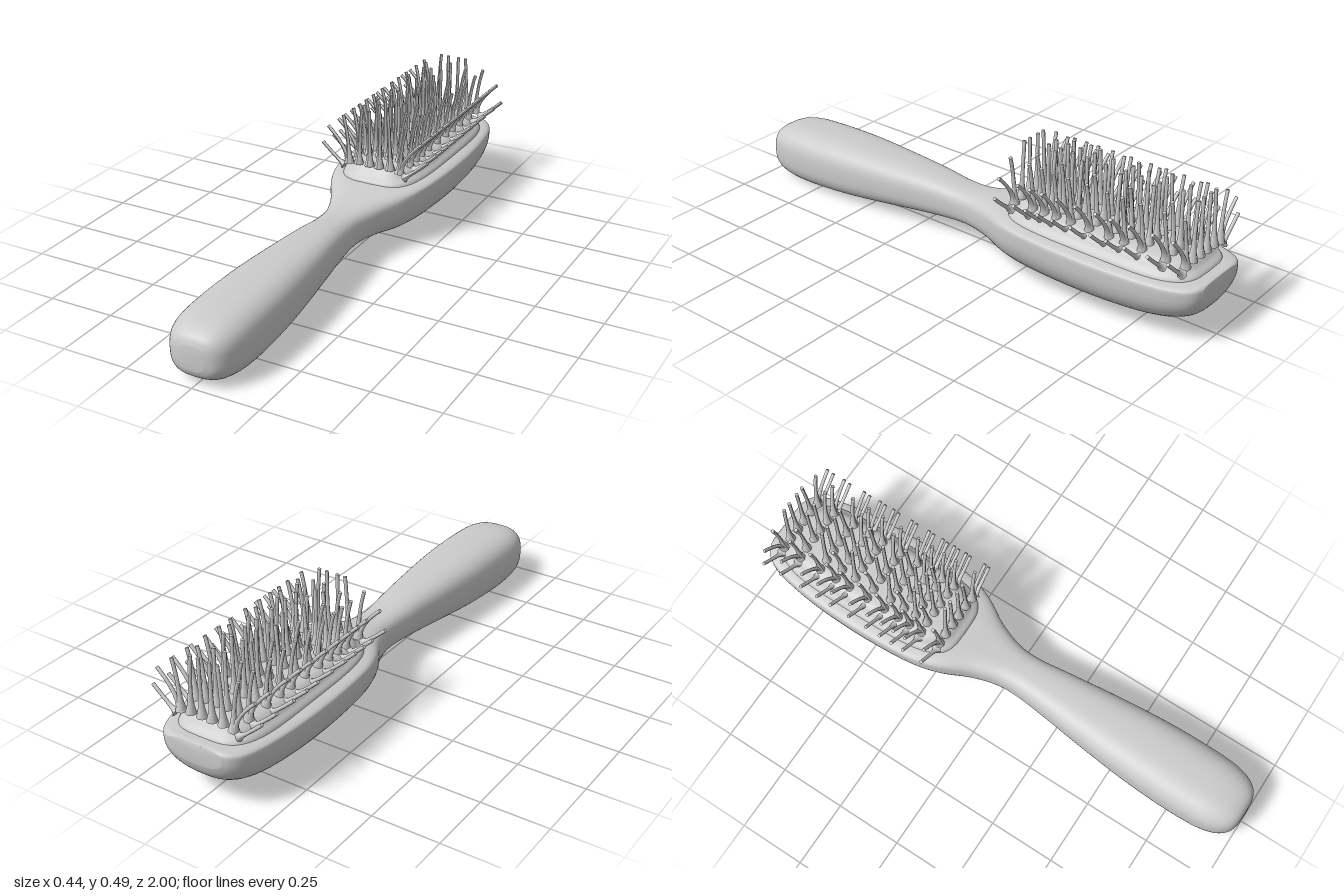
import * as THREE from 'three';

const material = new THREE.MeshStandardMaterial({ color: 0xcccccc, roughness: 0.7 });
const SIDES = 48;

// Signed power used for superellipse outlines
const spow = (v, n) => Math.sign(v) * Math.abs(v) ** (2 / n);

// Smooth closed skin through rings of points; pole points close both ends
function loft(rings, first, last, steps) {
  const curves = [];
  for (let j = 0; j < SIDES; j++) {
    curves.push(new THREE.CatmullRomCurve3(rings.map((r) => r[j])));
  }
  const pos = [], index = [];
  for (let i = 0; i <= steps; i++) {
    for (const c of curves) pos.push(...c.getPoint(i / steps).toArray());
  }
  const a0 = pos.length / 3, b0 = a0 + 1, end = steps * SIDES;
  pos.push(...first, ...last);
  for (let j = 0; j < SIDES; j++) {
    const k = (j + 1) % SIDES;
    for (let i = 0; i < steps; i++) {
      const a = i * SIDES + j, b = i * SIDES + k;
      index.push(a, a + SIDES, b, b, a + SIDES, b + SIDES);
    }
    index.push(a0, j, k, b0, end + k, end + j);
  }
  const g = new THREE.BufferGeometry();
  g.setAttribute('position', new THREE.Float32BufferAttribute(pos, 3));
  g.setIndex(index);
  g.computeVertexNormals();
  return g;
}

// Cross-section of the body: h = 0 is the rounded handle, h = 1 the flat-topped head
function bodyRing([z, w, top, bottom, h]) {
  const mid = THREE.MathUtils.lerp((top + bottom) / 2, top - 0.03, h);
  const upper = 2.8 + 1.2 * h, lower = 2.8 - 0.4 * h;
  return Array.from({ length: SIDES }, (_, j) => {
    const a = (j / SIDES) * Math.PI * 2, s = Math.sin(a), n = s > 0 ? upper : lower;
    return new THREE.Vector3(
      w * spow(Math.cos(a), n),
      mid + (s > 0 ? top - mid : mid - bottom) * spow(s, n),
      z
    );
  });
}

// Horizontal outline of the cushion at one height
function cushionRing([y, w, l]) {
  return Array.from({ length: SIDES }, (_, j) => {
    const a = (j / SIDES) * Math.PI * 2;
    return new THREE.Vector3(w * spow(Math.cos(a), 3.8), y, -0.575 + l * spow(Math.sin(a), 3.8));
  });
}

// Tapered bristle bent along a curve, with a flared root
function bristleGeometry(root, bend, tip) {
  const curve = new THREE.QuadraticBezierCurve(
    new THREE.Vector2(...root), new THREE.Vector2(...bend), new THREE.Vector2(...tip));
  const g = new THREE.CylinderGeometry(1, 1, 1, 8, 8);
  const p = g.attributes.position;
  for (let i = 0; i < p.count; i++) {
    const t = p.getY(i) + 0.5;
    const r = 0.0065 + 0.013 * (1 - t) ** 6;
    const c = curve.getPoint(t), d = curve.getTangent(t);
    p.setXYZ(i, c.x + d.y * p.getX(i) * r, c.y - d.x * p.getX(i) * r, p.getZ(i) * r);
  }
  g.computeVertexNormals();
  return g;
}

export function createModel() {
  const brush = new THREE.Group();
  brush.name = 'hairbrush';
  const add = (name, geometry, parent = brush) => {
    const mesh = new THREE.Mesh(geometry, material);
    mesh.name = name;
    parent.add(mesh);
    return mesh;
  };

  // Handle and head in one skin: z, half width, top, bottom, head shape
  const sections = [
    [0.998, 0.045, 0.15, 0.065, 0],
    [0.985, 0.08, 0.178, 0.04, 0],
    [0.955, 0.107, 0.198, 0.02, 0],
    [0.9, 0.126, 0.212, 0.008, 0],
    [0.8, 0.134, 0.22, 0.002, 0],
    [0.6, 0.13, 0.225, 0.013, 0],
    [0.4, 0.113, 0.221, 0.035, 0],
    [0.2, 0.09, 0.214, 0.058, 0],
    [0.08, 0.078, 0.204, 0.068, 0],
    [0, 0.081, 0.204, 0.069, 0.1],
    [-0.1, 0.112, 0.215, 0.06, 0.4],
    [-0.2, 0.165, 0.228, 0.043, 0.8],
    [-0.3, 0.196, 0.232, 0.034, 1],
    [-0.5, 0.21, 0.232, 0.029, 1],
    [-0.7, 0.206, 0.231, 0.033, 1],
    [-0.83, 0.192, 0.23, 0.046, 1],
    [-0.91, 0.176, 0.23, 0.066, 1],
    [-0.96, 0.155, 0.23, 0.092, 1],
    [-0.985, 0.132, 0.23, 0.122, 1],
    [-0.998, 0.105, 0.227, 0.155, 1],
  ];
  add('handleAndHead', loft(sections.map(bodyRing), [0, 0.108, 1], [0, 0.2, -1], 76));

  // Raised cushion: height, half width, half length
  const levels = [
    [0.215, 0.172, 0.388], [0.235, 0.165, 0.38], [0.25, 0.15, 0.362],
    [0.268, 0.138, 0.347], [0.281, 0.118, 0.325], [0.287, 0.07, 0.25],
  ];
  add('cushion', loft(levels.map(cushionRing), [0, 0.215, -0.575], [0, 0.289, -0.575], 20));

  // Bristle fan on one side: root, bend and tip in x, y
  const inner = [[0.02, 0.28], [0.022, 0.39], [0.022, 0.495]];
  const upright = [[0.065, 0.28], [0.063, 0.39], [0.053, 0.495]];
  const leaning = [[0.065, 0.28], [0.064, 0.4], [0.088, 0.48]];
  const fan = [
    [[0.105, 0.275], [0.108, 0.38], [0.131, 0.46]],
    [[0.105, 0.275], [0.125, 0.345], [0.195, 0.406]],
    [[0.125, 0.262], [0.15, 0.275], [0.217, 0.337]],
  ];
  const mirrored = (list) => [1, -1].flatMap((s) =>
    list.map((pts) => bristleGeometry(...pts.map(([x, y]) => [s * x, y]))));
  const rowTypes = [mirrored([inner, upright, ...fan]), mirrored([inner, leaning, ...fan])];

  const rows = [-0.235, -0.315, -0.365, -0.415, -0.475, -0.55, -0.63, -0.69, -0.76, -0.85, -0.925];
  rows.forEach((z, i) => {
    const row = new THREE.Group();
    row.name = 'bristleRow';
    row.position.z = z;
    rowTypes[i % 2].forEach((g) => add('bristle', g, row));
    brush.add(row);
  });

  return brush;
}
